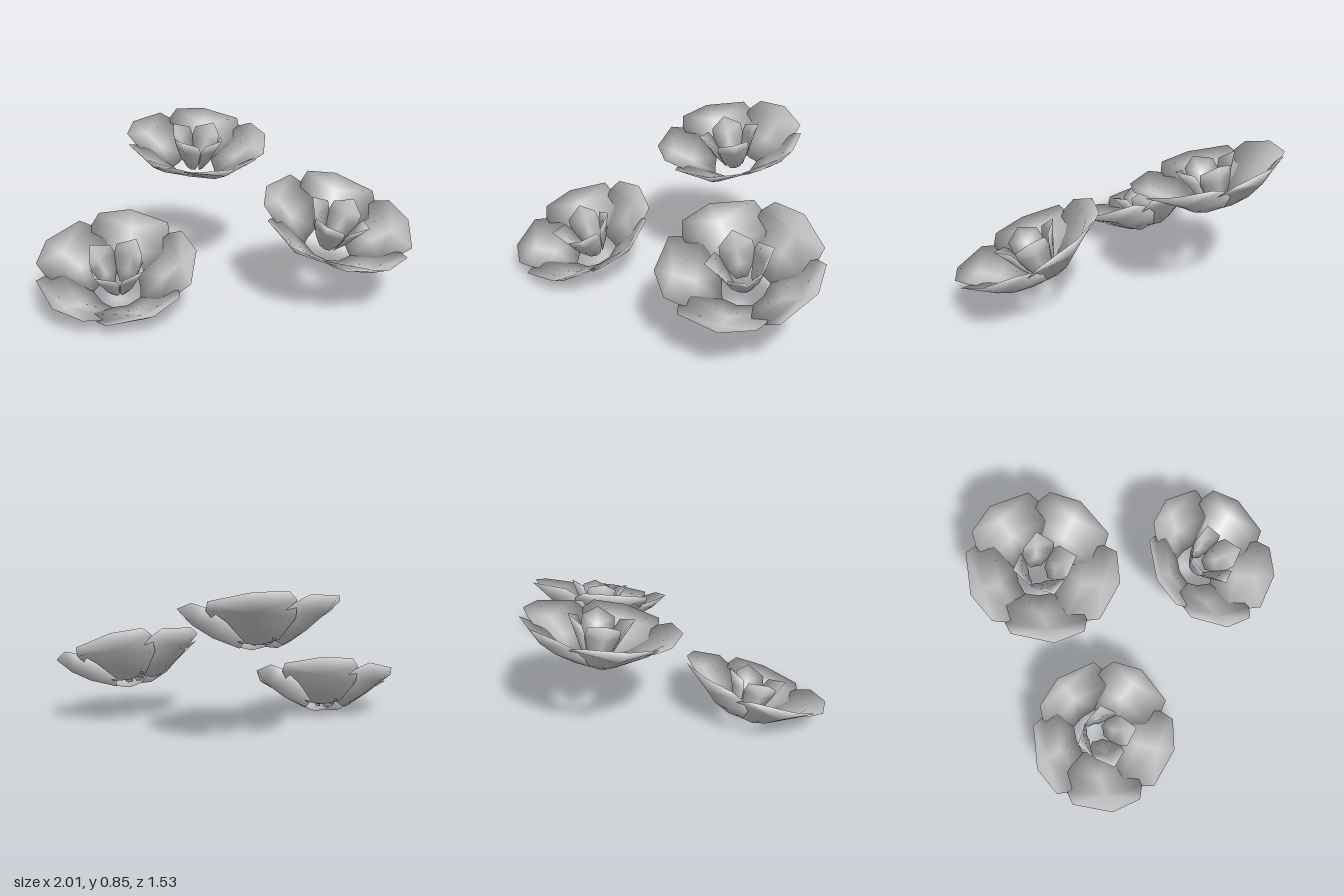
import * as THREE from 'three';

const material = new THREE.MeshStandardMaterial({ color: 0xcccccc });

// Closed lens-like petal pointing along +z: four rows of three [x, y, z] points.
// The underside shares the outline; only its two middle points are moved by offset,
// so the smooth normals roll over the rim.
function petalGeometry(rows, offset) {
  const points = rows.flat();
  const under = points.map((p, i) => i);
  for (const i of [4, 7]) {
    under[i] = points.length;
    points.push(points[i].map((v, k) => v + offset[k]));
  }
  const index = [];
  for (let r = 0; r < 3; r++) {
    for (let c = 0; c < 2; c++) {
      const p = r * 3 + c, q = p + 1, s = p + 3, t = p + 4;
      // Diagonals run to the middle points
      const triangles = (r < 2) === (c === 0) ? [p, s, t, p, t, q] : [p, s, q, q, s, t];
      index.push(...triangles, ...triangles.map((i) => under[i]).reverse());
    }
  }
  const geometry = new THREE.BufferGeometry();
  geometry.setAttribute('position', new THREE.Float32BufferAttribute(points.flat(), 3));
  geometry.setIndex(index);
  geometry.computeVertexNormals();
  return geometry;
}

// Wide outer petal lying on a shallow cone, slightly twisted so neighbours overlap
function outerPetal() {
  // [half width, distance of edges, distance of centre, shift of centre, dip of centre, twist]
  const sections = [
    [0.1, 0.105, 0.115, 0, 0, 0],
    [0.2, 0.2, 0.24, 0, 0.012, -0.006],
    [0.22, 0.295, 0.34, 0.01, 0.012, 0.006],
    [0.195, 0.365, 0.423, 0.03, 0, 0.006],
  ];
  const cone = (x, z) => 0.205 * (Math.hypot(x, z) - 0.115) / 0.3;
  return petalGeometry(sections.map(([w, edge, mid, shift, dip, twist]) => [
    [-w, cone(w, edge) - twist, edge],
    [shift, cone(shift, mid) - dip, mid],
    [w, cone(w, edge) + twist, edge],
  ]), [0, -0.014, 0.009]);
}

// Small, steep inner petal with wide shoulders and a pointed tip
function innerPetal() {
  // [half width, distance and height of edges, distance and height of centre]
  const sections = [
    [0.03, 0.045, 0.02, 0.05, 0.015],
    [0.07, 0.065, 0.09, 0.085, 0.085],
    [0.09, 0.085, 0.16, 0.12, 0.16],
    [0.085, 0.11, 0.215, 0.175, 0.245],
  ];
  return petalGeometry(sections.map(([w, edge, edgeY, mid, midY]) => [
    [-w, edgeY, edge], [0, midY, mid], [w, edgeY, edge],
  ]), [0, -0.005, 0.01]);
}

function addRing(flower, name, geometry, count, startDegrees) {
  for (let i = 0; i < count; i++) {
    const petal = new THREE.Mesh(geometry, material);
    petal.name = name;
    petal.rotation.y = THREE.MathUtils.degToRad(startDegrees + i * 360 / count);
    flower.add(petal);
  }
}

export function createModel() {
  const model = new THREE.Group();
  model.name = 'threeFlowers';
  const outer = outerPetal();
  const inner = innerPetal();

  // Position of each flower base, forward tilt and sideways roll in degrees
  const flowers = [
    ['backFlower', [0, 0.54, -0.435], 16, 0],
    ['rightFlower', [-0.57, 0.045, 0.185], 24, 6],
    ['leftFlower', [0.56, 0.235, 0.31], 24, -7],
  ];
  for (const [name, position, tilt, roll] of flowers) {
    const flower = new THREE.Group();
    flower.name = name;
    flower.position.set(...position);
    flower.rotation.set(THREE.MathUtils.degToRad(tilt), 0, THREE.MathUtils.degToRad(roll));
    addRing(flower, 'outerPetal', outer, 5, 13);
    addRing(flower, 'innerPetal', inner, 4, 43);
    model.add(flower);
  }
  return model;
}
